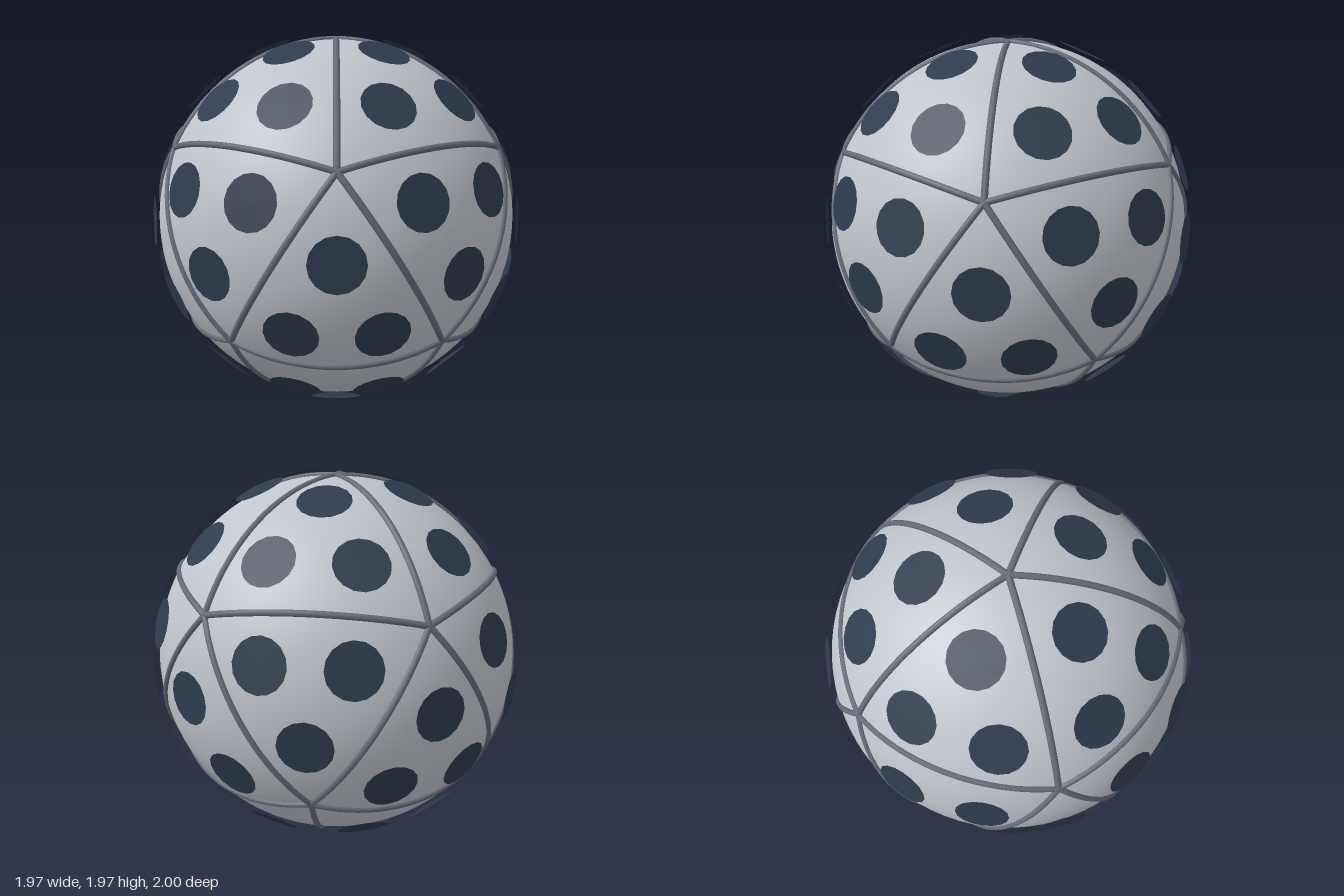
import * as THREE from 'three';

const CENTER_Y = 0.99;      // height of the ball's centre
const SHELL_R = 0.97;       // shell radius
const SEAM_R = 0.016;       // seam tube radius
const DISC_R = 0.132;       // disc radius
const DISC_DIST = 0.994;    // distance of the discs from the centre

// Twelve unit corners of an icosahedron standing on one corner
function icosahedronCorners() {
  const h = 1 / Math.sqrt(5), r = 2 / Math.sqrt(5);
  const corners = [new THREE.Vector3(0, 1, 0)];
  for (let i = 0; i < 5; i++) {
    const a = (i / 5) * Math.PI * 2;
    corners.push(new THREE.Vector3(r * Math.sin(a), h, -r * Math.cos(a)));
  }
  return corners.concat(corners.map((c) => c.clone().negate()));
}

// Seam: a tube following the great circle between two corners
function makeSeam(a, b, material) {
  const points = [];
  for (let i = 0; i <= 16; i++) {
    points.push(a.clone().lerp(b, i / 16).setLength(SHELL_R));
  }
  const curve = new THREE.CatmullRomCurve3(points);
  const seam = new THREE.Mesh(new THREE.TubeGeometry(curve, 24, SEAM_R, 8), material);
  seam.name = 'seam';
  return seam;
}

// Disc: a flat round plate floating just above the shell, near corner a of a panel
function makeDisc(a, b, c, geometry, material) {
  const dir = a.clone().multiplyScalar(0.55).addScaledVector(b, 0.225).addScaledVector(c, 0.225);
  const disc = new THREE.Mesh(geometry, material);
  disc.name = 'disc';
  disc.position.copy(dir.setLength(DISC_DIST));
  disc.lookAt(dir.clone().multiplyScalar(2));
  return disc;
}

export function createModel() {
  const model = new THREE.Group();
  model.name = 'panelledBall';
  const ball = new THREE.Group();
  ball.name = 'ball';
  ball.position.y = CENTER_Y;
  model.add(ball);

  const shellMat = new THREE.MeshStandardMaterial({ color: 0xc0c4cc });
  const seamMat = new THREE.MeshStandardMaterial({ color: 0x666b78 });
  const discMat = new THREE.MeshStandardMaterial({ color: 0x2e3b4e, side: THREE.DoubleSide });

  // Shell
  const shell = new THREE.Mesh(new THREE.SphereGeometry(SHELL_R, 80, 60), shellMat);
  shell.name = 'shell';
  ball.add(shell);

  const seams = new THREE.Group();
  seams.name = 'seams';
  const discs = new THREE.Group();
  discs.name = 'discs';
  ball.add(seams, discs);

  // Seams on all thirty edges, three discs on each of the twenty panels
  const v = icosahedronCorners();
  const near = (i, j) => v[i].dot(v[j]) > 0.4;
  const discGeo = new THREE.CircleGeometry(DISC_R, 16);
  for (let i = 0; i < 12; i++) {
    for (let j = i + 1; j < 12; j++) {
      if (!near(i, j)) continue;
      seams.add(makeSeam(v[i], v[j], seamMat));
      for (let k = j + 1; k < 12; k++) {
        if (!near(i, k) || !near(j, k)) continue;
        discs.add(
          makeDisc(v[i], v[j], v[k], discGeo, discMat),
          makeDisc(v[j], v[k], v[i], discGeo, discMat),
          makeDisc(v[k], v[i], v[j], discGeo, discMat)
        );
      }
    }
  }
  return model;
}
